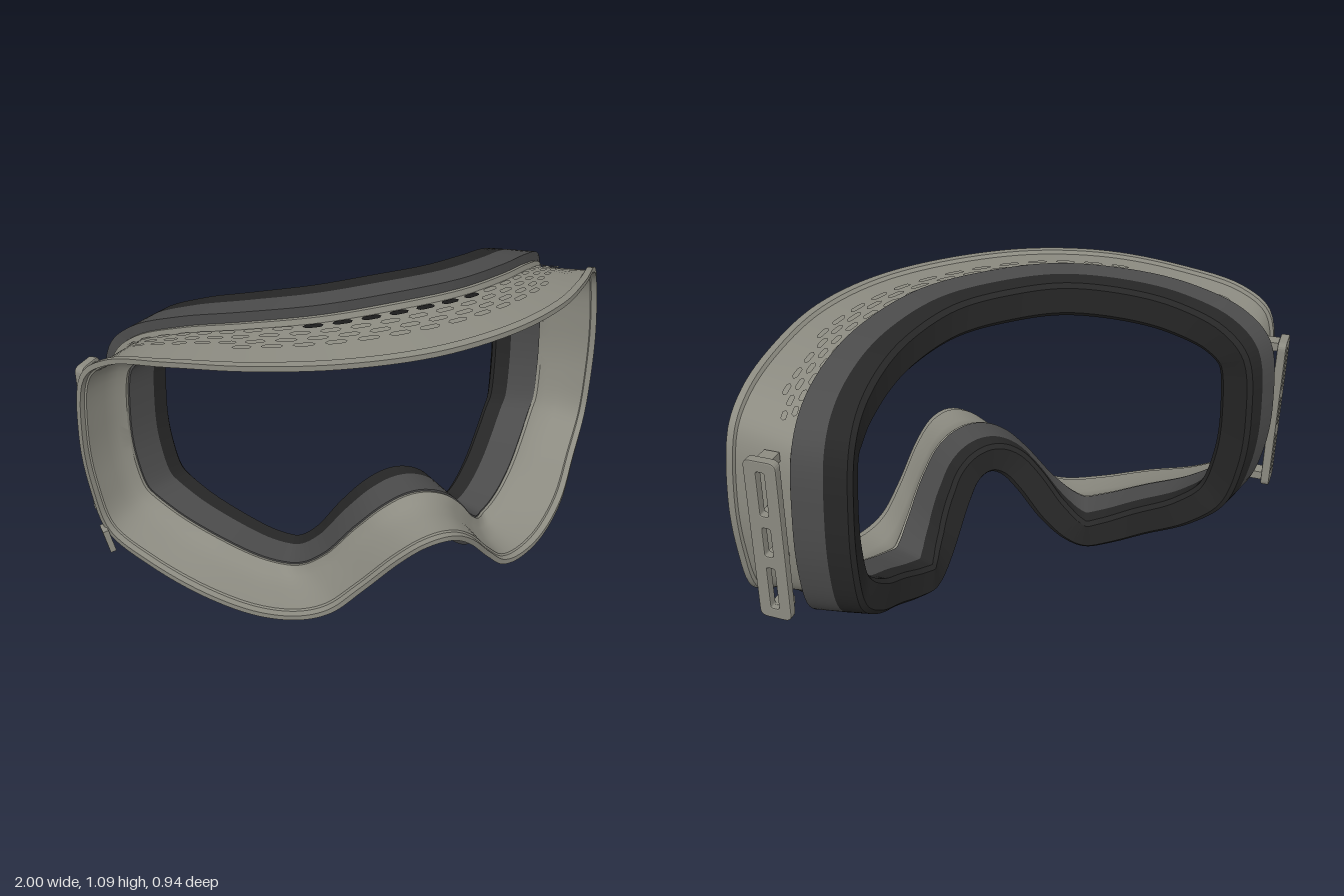
import * as THREE from 'three';
import { toCreasedNormals } from 'three/addons/utils/BufferGeometryUtils.js';

const V = (x, y, z) => new THREE.Vector3(x, y, z);

// Half outlines from top centre, down the left side, to the nose bridge.
const RIM = [
  [0, 1.03, 0.40], [0.3, 1.03, 0.355], [0.55, 1.02, 0.235], [0.75, 0.995, 0.06], [0.9, 0.955, -0.11],
  [0.97, 0.88, -0.19], [1.0, 0.65, -0.205], [0.99, 0.45, -0.195], [0.955, 0.28, -0.165],
  [0.85, 0.18, -0.06], [0.7, 0.105, 0.1], [0.55, 0.055, 0.21], [0.42, 0.045, 0.275], [0.33, 0.075, 0.315],
  [0.24, 0.165, 0.36], [0.13, 0.295, 0.425], [0.06, 0.35, 0.455], [0, 0.365, 0.465],
];
const FOAM = [
  [0, 1.097, 0.085], [0.25, 1.09, 0.06], [0.48, 1.065, -0.045], [0.64, 1.03, -0.165], [0.77, 0.965, -0.295],
  [0.835, 0.87, -0.375], [0.86, 0.65, -0.40], [0.855, 0.45, -0.39], [0.82, 0.28, -0.345],
  [0.73, 0.17, -0.245], [0.6, 0.085, -0.11], [0.48, 0.025, -0.015], [0.38, 0.003, 0.045], [0.3, 0.03, 0.1],
  [0.21, 0.11, 0.16], [0.115, 0.235, 0.21], [0.055, 0.295, 0.235], [0, 0.315, 0.24],
];
const COUNT = 34;

function mirroredLoop(half) {
  const left = half.map(p => V(...p));
  const right = half.slice(1, -1).reverse().map(([x, y, z]) => V(-x, y, z));
  return new THREE.CatmullRomCurve3([...left, ...right], true);
}
const rimCurve = mirroredLoop(RIM);
const foamCurve = mirroredLoop(FOAM);

// Local frame at station u (0 to 34): depth runs to the face, inward to the opening.
function frame(u) {
  const t = (((u % COUNT) + COUNT) % COUNT) / COUNT;
  const foam = foamCurve.getPoint(t);
  const tangent = foamCurve.getPoint((t + 0.002) % 1).sub(foamCurve.getPoint((t + 0.998) % 1));
  const a = 1.08 * foam.x / 0.86;
  const depth = V(-Math.sin(a), 0, -Math.cos(a));
  const inward = depth.clone().cross(tangent).normalize();
  const back = foam.clone().addScaledVector(inward, 0.04);
  const rim = rimCurve.getPoint(t);
  return {
    pad: (d, n) => foam.clone().addScaledVector(depth, d).addScaledVector(inward, n),
    wall: (s, n) => rim.clone().lerp(back, s).addScaledVector(inward, n),
  };
}

// Skin a grid of section points.
function skin(rows, closed) {
  const m = rows[0].length, n = rows.length, index = [];
  for (let i = 0; i < (closed ? n : n - 1); i++) {
    for (let j = 0; j < (closed ? m : m - 1); j++) {
      const k = (j + 1) % m, r = (i + 1) % n;
      const a = i * m + j, b = r * m + j, c = r * m + k, d = i * m + k;
      index.push(a, b, c, a, c, d);
    }
  }
  const geo = new THREE.BufferGeometry().setFromPoints(rows.flat());
  geo.setIndex(index);
  geo.computeVertexNormals();
  return geo;
}

function ring(section) {
  const rows = [];
  for (let i = 0; i < 204; i++) rows.push(section(frame(i * COUNT / 204)));
  return toCreasedNormals(skin(rows, true), 0.6);
}

// Thin rounded patch lying on the outside of the shell wall.
function patch(u0, u1, s, half, steps, round) {
  const rows = [];
  for (let i = 0; i <= steps; i++) {
    const t = i / steps, e = Math.min(1, Math.min(t, 1 - t) / round);
    const w = half * Math.sqrt(Math.max(0.001, 1 - (1 - e) ** 2));
    const f = frame(u0 + (u1 - u0) * t);
    rows.push([f.wall(s - w, 0.006), f.wall(s + w, 0.006)]);
  }
  return skin(rows, false);
}

function roundedRect(target, w, h, r, cy = 0) {
  const x = w / 2, b = cy - h / 2, t = cy + h / 2;
  target.moveTo(-x + r, b).lineTo(x - r, b).quadraticCurveTo(x, b, x, b + r);
  target.lineTo(x, t - r).quadraticCurveTo(x, t, x - r, t);
  target.lineTo(-x + r, t).quadraticCurveTo(-x, t, -x, t - r);
  target.lineTo(-x, b + r).quadraticCurveTo(-x, b, -x + r, b);
  return target;
}

export function createModel() {
  const model = new THREE.Group();
  model.name = 'goggleFrame';
  const material = (name, color, side = THREE.FrontSide) => {
    const m = new THREE.MeshStandardMaterial({ color, side });
    m.name = name;
    return m;
  };
  const shellGrey = material('shellGrey', 0x8c8b81, THREE.DoubleSide);
  const foamGrey = material('foamGrey', 0x4b4b4b);
  const foamBlack = material('foamBlack', 0x262626);
  const ventBlack = material('ventBlack', 0x1a1a1a, THREE.DoubleSide);
  const add = (name, geo, mat, parent = model) => {
    const mesh = new THREE.Mesh(geo, mat);
    mesh.name = name;
    parent.add(mesh);
    return mesh;
  };

  // Shell: beaded front rim, outer wall, rear flange and smooth inner wall
  add('shell', ring(f => [
    f.wall(0, 0), f.wall(0.1, 0), f.wall(0.13, 0.012), f.wall(0.94, 0.012), f.wall(0.96, -0.006), f.wall(1, -0.006),
    f.pad(0, 0.11), f.pad(-0.012, 0.113), f.wall(0.8, 0.048), f.wall(0.55, 0.033),
    f.wall(0.12, 0.026), f.wall(0.1, 0.02), f.wall(0, 0.018),
  ]), shellGrey);

  // Two foam layers
  add('frontFoam', ring(f => [f.pad(0, 0), f.pad(0.095, 0), f.pad(0.11, 0.117), f.pad(0, 0.117)]), foamGrey);
  add('faceFoam', ring(f => [
    f.pad(0.095, 0), f.pad(0.165, 0.002), f.pad(0.18, 0.016),
    f.pad(0.18, 0.102), f.pad(0.167, 0.117), f.pad(0.11, 0.117),
  ]), foamBlack);

  // Rows of vent slots on the brow, open ones in the middle of the rear row
  [0.86, 0.73, 0.60, 0.48].forEach((s, row) => {
    const reach = [11, 11, 10, 6][row];
    for (let k = -reach; k <= reach; k++) {
      const u = (k + (row % 2) * 0.5) * 0.37;
      const open = row === 0 && Math.abs(u) < 1.2;
      add('browVent', patch(u - 0.13, u + 0.13, s, 0.04, 8, 0.25), open ? ventBlack : shellGrey);
    }
  });

  // Long vents under the cheeks
  for (const side of [1, -1]) {
    add('cheekVent', patch(side * 8.6, side * 11.4, 0.64, 0.16, 28, 0.18), ventBlack);
  }

  // Strap clips on both sides
  const plate = roundedRect(new THREE.Shape(), 0.1, 0.56, 0.02);
  for (const [cy, h] of [[0.17, 0.16], [0, 0.11], [-0.17, 0.16]]) {
    plate.holes.push(roundedRect(new THREE.Path(), 0.035, h, 0.012, cy));
  }
  const plateGeo = new THREE.ExtrudeGeometry(plate, {
    depth: 0.02, bevelEnabled: true, bevelSize: 0.004, bevelThickness: 0.005, bevelSegments: 2, curveSegments: 5,
  });
  for (const side of [1, -1]) {
    const clip = new THREE.Group();
    clip.name = side > 0 ? 'leftStrapClip' : 'rightStrapClip';
    clip.position.set(side * 0.884, 0.56, -0.31);
    clip.rotation.y = side * Math.PI * 0.75;
    model.add(clip);
    add('clipPlate', plateGeo, shellGrey, clip).position.z = 0.04;
    for (const y of [0.26, 0.075, -0.075, -0.26]) {
      add('clipPost', new THREE.BoxGeometry(0.05, 0.03, 0.06), shellGrey, clip).position.set(0, y, 0.015);
    }
  }

  // Small tab at the lower right of the rim
  const tab = add('rimTab', new THREE.BoxGeometry(0.02, 0.09, 0.05), shellGrey);
  tab.position.set(-0.957, 0.255, -0.17);
  tab.rotation.z = 0.2;
  return model;
}
